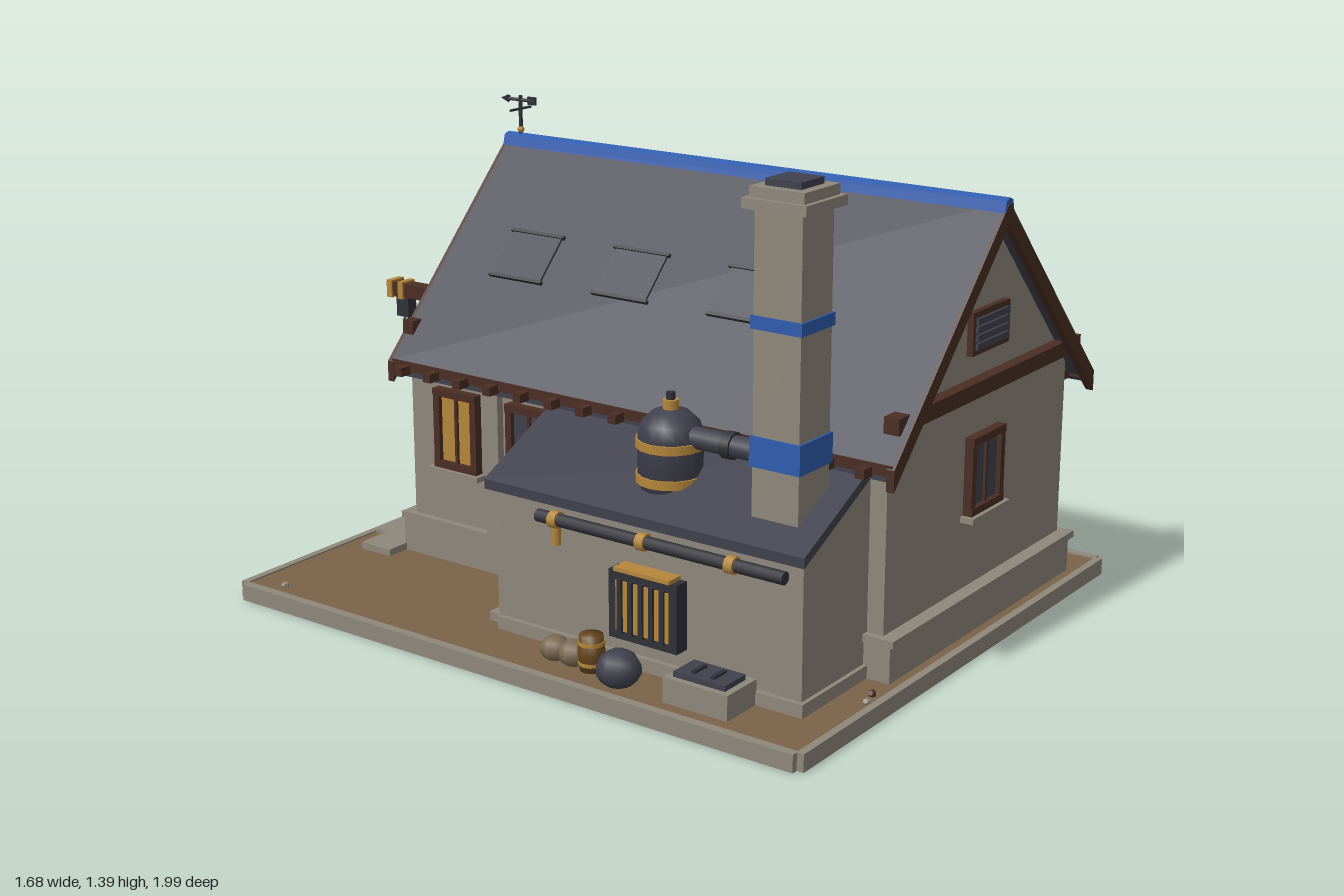
import * as THREE from 'three';

const mat = (name, color) => { const m = new THREE.MeshStandardMaterial({ color }); m.name = name; return m; };

export function createModel() {
  const root = new THREE.Group();
  root.name = 'workshop';
  const stone = mat('stone', 0x8f877b), slate = mat('slate', 0x41414e), timber = mat('darkTimber', 0x4a2e24),
    blue = mat('bluePaint', 0x2f5cae), bronze = mat('bronze', 0xb5863a), soil = mat('soil', 0x7a6449),
    wood = mat('wood', 0x69481f), iron = mat('iron', 0x303038), sackcloth = mat('sackcloth', 0x7c6a54);

  const add = (name, geo, m, parent = root) => {
    const mesh = new THREE.Mesh(geo, m);
    mesh.name = name;
    parent.add(mesh);
    return mesh;
  };
  // box given by its extents
  const box = (name, m, x0, x1, y0, y1, z0, z1, parent = root) => {
    const b = add(name, new THREE.BoxGeometry(x1 - x0, y1 - y0, z1 - z0), m, parent);
    b.position.set((x0 + x1) / 2, (y0 + y1) / 2, (z0 + z1) / 2);
    return b;
  };
  // profile in x,y extruded from z0 to z1
  const prism = (name, m, shape, z0, z1, parent = root) => {
    const s = Array.isArray(shape) ? new THREE.Shape(shape.map(p => new THREE.Vector2(...p))) : shape;
    const mesh = add(name, new THREE.ExtrudeGeometry(s, { depth: z1 - z0, bevelEnabled: false, curveSegments: 12 }), m, parent);
    mesh.position.z = z0;
    return mesh;
  };
  const rod = (name, m, r, a, b, sides = 10, parent = root) => {
    const p = new THREE.Vector3(...a), q = new THREE.Vector3(...b), d = q.clone().sub(p);
    const c = add(name, new THREE.CylinderGeometry(r, r, d.length(), sides), m, parent);
    c.position.copy(p).add(q).multiplyScalar(0.5);
    c.quaternion.setFromUnitVectors(new THREE.Vector3(0, 1, 0), d.normalize());
    return c;
  };
  // flat timber between two points on a facade
  const beam = (name, m, x0, y0, x1, y1, w, z0, z1) => {
    const b = box(name, m, -Math.hypot(x1 - x0, y1 - y0) / 2, Math.hypot(x1 - x0, y1 - y0) / 2, -w / 2, w / 2, z0, z1);
    b.position.set((x0 + x1) / 2, (y0 + y1) / 2, (z0 + z1) / 2);
    b.rotation.z = Math.atan2(y1 - y0, x1 - x0);
    return b;
  };
  const facing = (name, x, y, z, ry) => {
    const g = new THREE.Group();
    g.name = name; g.position.set(x, y, z); g.rotation.y = ry;
    root.add(g);
    return g;
  };
  const arch = (w, h, S = THREE.Shape) => {
    const s = new S();
    s.moveTo(-w / 2, 0); s.lineTo(w / 2, 0); s.lineTo(w / 2, h - w / 2);
    s.absarc(0, h - w / 2, w / 2, 0, Math.PI, false);
    s.lineTo(-w / 2, 0);
    return s;
  };

  // base
  box('yard', soil, -0.815, 0.815, 0, 0.045, -0.93, 0.97);
  for (const s of [-1, 1]) {
    box('sideCurb', stone, s * 0.825 - 0.013, s * 0.825 + 0.013, 0.001, 0.05, -0.93, 0.97);
    box('endCurb', stone, -0.82, 0.82, 0.001, 0.05, s < 0 ? -0.952 : 0.968, s < 0 ? -0.93 : 0.99);
  }

  // main hall
  const RX = 0.177, RY = 1.24, K = 1.048;
  const roofY = (x, drop = 0) => RY - drop - K * Math.abs(x - RX);
  prism('hallWalls', stone, [[-0.32, 0.05], [0.67, 0.05], [0.67, roofY(0.67, 0.03)], [RX, RY - 0.03], [-0.32, roofY(-0.32, 0.03)]], -0.72, 0.91);
  box('plinth', stone, -0.335, 0.685, 0.045, 0.15, -0.755, 0.94);
  box('plinthTrim', stone, -0.342, 0.695, 0.148, 0.168, -0.76, 0.952);
  for (const z of [0.36, -0.41]) {
    box('rightPilaster', stone, 0.66, 0.697, 0.165, 0.635, z - 0.027, z + 0.027);
  }
  box('leftPilaster', stone, -0.345, -0.31, 0.165, 0.635, -0.42, -0.37);

  // roof
  const chevron = (t, e) => [[RX - e, roofY(RX - e)], [RX - e, roofY(RX - e, t)], [RX, RY - t],
    [RX + e, roofY(RX + e, t)], [RX + e, roofY(RX + e)], [RX, RY]];
  prism('roof', slate, chevron(0.04, 0.56), -0.74, 0.96);
  for (const [z0, z1] of [[0.945, 0.968], [-0.752, -0.73]]) prism('bargeBoard', timber, chevron(0.06, 0.564), z0, z1);
  prism('ridgeCap', blue, [[RX - 0.026, RY - 0.028], [RX + 0.026, RY - 0.028], [RX + 0.018, RY + 0.004], [RX, RY + 0.012], [RX - 0.018, RY + 0.004]], -0.75, 0.967);
  for (const s of [-1, 1]) {
    const x = RX + s * 0.55;
    box('eaveBoard', timber, x - 0.012, x + 0.012, 0.628, 0.657, -0.74, 0.96);
    for (let i = 0; i < 15; i++) {
      const z = -0.68 + i * 0.112;
      box('rafterTail', timber, x - 0.05, x + 0.018, 0.622, 0.648, z - 0.014, z + 0.014);
    }
    // skylights
    for (const z of s > 0 ? [-0.25, 0.165] : [-0.45, -0.07, 0.33]) {
      const g = new THREE.Group();
      g.name = 'skylight';
      const cx = RX + s * 0.278;
      g.position.set(cx, roofY(cx), z);
      g.rotation.z = -s * Math.atan(K);
      root.add(g);
      box('skylightPane', slate, -0.075, 0.075, -0.01, 0.007, -0.09, 0.09, g);
      for (const u of [-0.078, 0.078]) box('skylightBar', iron, u - 0.005, u + 0.005, -0.01, 0.012, -0.098, 0.098, g);
    }
  }

  // windows and vents, modelled facing +z
  const windowAt = (x, y, z, ry, w, h, glass) => {
    const g = facing('window', x, y, z, ry);
    box('pane', glass, -w / 2, w / 2, -h / 2, h / 2, -0.01, 0.012, g);
    for (const s of [-1, 1]) {
      box('jamb', timber, s * w / 2 - 0.011, s * w / 2 + 0.011, -h / 2, h / 2, -0.01, 0.026, g);
      box('rail', timber, -w / 2 - 0.011, w / 2 + 0.011, s * h / 2 - 0.011, s * h / 2 + 0.011, -0.01, 0.028, g);
    }
    box('mullion', timber, -0.005, 0.005, -h / 2, h / 2, 0, 0.02, g);
    box('sill', stone, -w / 2 - 0.025, w / 2 + 0.025, -h / 2 - 0.026, -h / 2 - 0.01, -0.01, 0.04, g);
  };
  windowAt(RX, 0.492, 0.91, 0, 0.16, 0.2, slate);
  windowAt(0.67, 0.47, 0.29, Math.PI / 2, 0.11, 0.21, slate);
  windowAt(0.67, 0.47, -0.33, Math.PI / 2, 0.12, 0.21, slate);
  windowAt(-0.32, 0.46, -0.535, -Math.PI / 2, 0.14, 0.22, bronze);
  windowAt(-0.32, 0.46, -0.26, -Math.PI / 2, 0.14, 0.22, slate);
  for (const [y, z, ry] of [[0.893, 0.91, 0], [0.955, -0.72, Math.PI]]) {
    const g = facing('gableVent', RX, y, z, ry);
    box('ventFrame', timber, -0.102, 0.102, -0.06, 0.06, -0.01, 0.018, g);
    for (let i = 0; i < 4; i++) box('louvre', slate, -0.088, 0.088, -0.044 + i * 0.023, -0.026 + i * 0.023, 0, 0.026, g);
  }

  // front and rear gable timbers
  box('frontTieBeam', timber, -0.33, 0.69, 0.72, 0.765, 0.9, 0.945);
  const z0 = -0.745, z1 = -0.71;
  box('rearTieBeam', timber, -0.32, 0.67, 0.715, 0.76, z0 - 0.005, z1);
  box('blueFrieze', blue, -0.32, 0.67, 0.685, 0.713, -0.729, z1);
  box('midRail', timber, -0.14, 0.49, 0.868, 0.892, z0, z1);
  box('collarBeam', timber, 0.02, 0.334, 1.025, 1.052, z0, z1);
  beam('kingPost', timber, RX, 1.04, RX, 1.2, 0.026, z0, z1);
  for (const s of [-1, 1]) {
    beam('gableStud', timber, RX + s * 0.135, 0.75, RX + s * 0.135, 1.04, 0.024, z0, z1);
    beam('gableBrace', timber, RX + s * 0.4, 0.75, RX + s * 0.27, 0.88, 0.024, z0, z1);
    box('doorPost', timber, RX + s * 0.245 - 0.02, RX + s * 0.245 + 0.02, 0.165, 0.72, z0 - 0.005, z1);
    box('postBase', stone, RX + s * 0.245 - 0.028, RX + s * 0.245 + 0.028, 0.165, 0.205, -0.758, z1);
  }
  box('bluePlaque', blue, RX - 0.06, RX + 0.06, 0.768, 0.865, -0.749, z1);
  box('plaqueBoss', bronze, RX - 0.032, RX + 0.032, 0.795, 0.835, -0.755, -0.74);

  // arched doorways
  const doorway = (x, y, z, w, h, leaf) => {
    const g = facing('doorway', x, y, z, Math.PI);
    const ring = arch(w, h);
    ring.holes.push(arch(w - 0.07, h - 0.035, THREE.Path));
    prism('archSurround', stone, ring, -0.01, 0.03, g);
    prism('doorLeaf', leaf, arch(w - 0.066, h - 0.033), -0.01, 0.01, g);
    return g;
  };
  const main = doorway(RX, 0.165, -0.72, 0.4, 0.455, wood);
  for (let i = -3; i <= 3; i++) box('plankSeam', timber, i * 0.043 - 0.004, i * 0.043 + 0.004, 0, 0.4 - Math.abs(i) ** 2 * 0.01, 0, 0.014, main);
  for (const y of [0.13, 0.25]) box('doorStrap', iron, -0.162, 0.162, y, y + 0.02, 0, 0.02, main);
  box('blueKickPlate', blue, -0.163, 0.163, 0.015, 0.075, 0, 0.019, main);
  for (const s of [-1, 1]) box('doorHandle', bronze, s * 0.02 - 0.006, s * 0.02 + 0.006, 0.17, 0.22, 0, 0.028, main);
  const side = doorway(-0.486, 0.065, -0.13, 0.225, 0.37, slate);
  for (const y of [0.06, 0.14, 0.22]) box('doorStrap', stone, -0.077, 0.077, y, y + 0.009, 0, 0.016, side);
  box('sideDoorStep', stone, -0.61, -0.37, 0.045, 0.07, -0.185, -0.12);

  // hanging banner
  const ban = new THREE.Shape([[-0.068, 0], [-0.068, -0.26], [-0.035, -0.315], [0, -0.33], [0.035, -0.315], [0.068, -0.26], [0.068, 0]].map(p => new THREE.Vector2(...p)));
  const banner = facing('banner', 0.535, 0.64, -0.725, Math.PI);
  prism('bannerCloth', blue, ban, 0, 0.009, banner);
  rod('bannerRod', timber, 0.009, [-0.085, 0, 0.008], [0.085, 0, 0.008], 8, banner);
  box('bannerBadge', bronze, -0.034, 0.034, -0.2, -0.115, 0.004, 0.014, banner);

  // steps and paving
  for (let i = 0; i < 3; i++) box('doorStep', stone, -0.03 + i * 0.012, 0.39 - i * 0.012, 0.04, 0.085 + i * 0.033, -0.872 + i * 0.042, -0.72);
  box('slabLeft', stone, -0.41, -0.035, 0.04, 0.066, -0.865, -0.75);
  box('slabRight', stone, 0.45, 0.63, 0.04, 0.062, -0.865, -0.75);
  for (const [a, b] of [[-0.28, 0.02], [0.026, 0.326], [0.332, 0.8]]) box('pavingSlab', stone, a, b, 0.04, 0.057, -0.928, -0.878);

  // hoist
  const HX = -0.092;
  box('hoistBeam', timber, HX - 0.023, HX + 0.023, 0.758, 0.8, -0.995, -0.7);
  for (const z of [-0.945, -0.99]) box('hoistBand', bronze, HX - 0.028, HX + 0.028, 0.752, 0.806, z - 0.01, z + 0.01);
  rod('hoistStrut', timber, 0.012, [HX, 0.85, -0.73], [HX, 0.79, -0.86], 6);
  box('pulleyBlock', iron, HX - 0.018, HX + 0.018, 0.695, 0.757, -0.97, -0.922);
  for (let i = 0; i < 5; i++) {
    const link = add('chainLink', new THREE.TorusGeometry(0.01, 0.0035, 5, 10), iron);
    link.position.set(HX, 0.686 - i * 0.015, -0.947);
    link.rotation.y = i % 2 * Math.PI / 2;
  }
  const hook = add('hook', new THREE.TorusGeometry(0.015, 0.005, 6, 12, Math.PI * 1.4), iron);
  hook.position.set(HX, 0.603, -0.952);
  hook.rotation.set(0, Math.PI / 2, 0);
  hook.rotateZ(Math.PI * 0.9);

  // weathervane
  rod('vanePole', iron, 0.006, [RX, 1.23, -0.7], [RX, 1.365, -0.7], 8);
  rod('vaneCross', iron, 0.004, [RX - 0.048, 1.325, -0.7], [RX + 0.048, 1.325, -0.7], 6);
  rod('vaneArrow', iron, 0.005, [RX, 1.352, -0.76], [RX, 1.352, -0.65], 6);
  box('vaneTail', iron, RX - 0.004, RX + 0.004, 1.34, 1.364, -0.67, -0.64);
  const tip = add('vaneTip', new THREE.ConeGeometry(0.012, 0.03, 6), iron);
  tip.position.set(RX, 1.352, -0.762);
  tip.rotation.x = -Math.PI / 2;
  add('vaneKnob', new THREE.SphereGeometry(0.011, 10, 8), bronze).position.set(RX, 1.262, -0.7);

  // lean-to
  prism('leanToWalls', stone, [[-0.63, 0.05], [-0.32, 0.05], [-0.32, 0.62], [-0.63, 0.465]], -0.13, 0.86);
  box('leanToPlinth', stone, -0.645, -0.33, 0.045, 0.082, -0.125, 0.872);
  prism('leanToRoof', slate, [[-0.66, 0.452], [-0.31, 0.624], [-0.31, 0.652], [-0.66, 0.48]], -0.15, 0.88);
  rod('gutterPipe', iron, 0.018, [-0.652, 0.412, 0.03], [-0.652, 0.412, 0.82]);
  for (const z of [0.09, 0.38, 0.66]) rod('pipeCollar', bronze, 0.024, [-0.652, 0.412, z - 0.013], [-0.652, 0.412, z + 0.013]);
  rod('downPipe', bronze, 0.013, [-0.65, 0.34, 0.09], [-0.65, 0.41, 0.09], 8);

  // barred furnace window
  const grate = facing('furnaceGrate', -0.63, 0.23, 0.395, -Math.PI / 2);
  box('grateFrame', iron, -0.11, 0.11, -0.095, 0.095, -0.01, 0.045, grate);
  box('grateGlow', bronze, -0.085, 0.085, -0.07, 0.07, 0, 0.049, grate);
  for (let i = -2; i <= 2; i++) box('grateBar', iron, i * 0.034 - 0.007, i * 0.034 + 0.007, -0.075, 0.075, 0.04, 0.057, grate);
  box('grateLintel', bronze, -0.09, 0.09, 0.095, 0.106, -0.01, 0.052, grate);

  // chimney
  const CX = -0.507, CZ = 0.737;
  const tier = (name, m, r, y0, y1) => box(name, m, CX - r, CX + r, y0, y1, CZ - r, CZ + r);
  tier('chimneyStack', stone, 0.07, 0.4, 1.33);
  tier('chimneyCap', stone, 0.094, 1.315, 1.342);
  tier('chimneyCapTop', stone, 0.08, 1.34, 1.37);
  tier('flue', slate, 0.052, 1.36, 1.388);
  tier('lowerBlueBand', blue, 0.076, 0.655, 0.735);
  tier('upperBlueBand', blue, 0.076, 1.012, 1.046);

  // boiler
  const profile = [[0.0, 0.48], [0.088, 0.48], [0.088, 0.66], [0.078, 0.695], [0.05, 0.722], [0, 0.735]].map(p => new THREE.Vector2(...p));
  add('boiler', new THREE.LatheGeometry(profile, 16), slate).position.set(-0.495, 0, 0.355);
  for (const y of [0.545, 0.64]) rod('boilerBand', bronze, 0.094, [-0.495, y - 0.012, 0.355], [-0.495, y + 0.012, 0.355], 16);
  rod('boilerValve', bronze, 0.022, [-0.495, 0.72, 0.355], [-0.495, 0.755, 0.355]);
  rod('boilerSpout', iron, 0.012, [-0.495, 0.75, 0.355], [-0.495, 0.775, 0.355]);
  rod('boilerDuct', slate, 0.03, [-0.495, 0.665, 0.4], [-0.495, 0.665, 0.68], 12);
  rod('ductCollar', iron, 0.037, [-0.495, 0.665, 0.53], [-0.495, 0.665, 0.56], 12);

  // coal bunker
  box('bunker', stone, -0.77, -0.64, 0.045, 0.115, 0.53, 0.73);
  box('bunkerLid', slate, -0.752, -0.66, 0.11, 0.13, 0.55, 0.71);
  for (const z of [0.6, 0.66]) box('lidHandle', iron, -0.735, -0.68, 0.128, 0.137, z - 0.006, z + 0.006);

  // barrels, crate, sacks and coal
  const barrel = (x, z, r, h) => {
    const p = [[0, 0], [r * 0.85, 0], [r, h * 0.5], [r * 0.85, h], [0, h]].map(q => new THREE.Vector2(...q));
    add('barrel', new THREE.LatheGeometry(p, 12), wood).position.set(x, 0.045, z);
    for (const t of [0.22, 0.78]) rod('barrelHoop', bronze, r * 0.97, [x, 0.045 + h * t - 0.005, z], [x, 0.045 + h * t + 0.005, z], 12);
  };
  barrel(0.752, -0.51, 0.037, 0.078);
  barrel(-0.712, 0.255, 0.038, 0.1);
  const crate = facing('crate', 0.718, 0.082, -0.79, 0.15);
  box('crateBody', wood, -0.04, 0.04, -0.037, 0.03, -0.042, 0.042, crate);
  box('crateLid', timber, -0.045, 0.045, 0.027, 0.038, -0.047, 0.047, crate);
  for (const [x, z, r, m, n] of [[-0.71, 0.13, 0.042, sackcloth, 'sack'], [-0.71, 0.195, 0.044, sackcloth, 'sack'], [-0.745, 0.37, 0.062, slate, 'coalHeap']]) {
    const s = add(n, new THREE.SphereGeometry(r, 9, 7), m);
    s.position.set(x, 0.045 + r * 0.7, z);
    s.scale.y = 0.85;
  }
  for (const [x, z, m] of [[0.76, -0.13, timber], [0.765, 0.38, timber], [0.745, 0.77, stone], [0.775, -0.86, stone], [-0.77, -0.825, stone], [-0.47, 0.955, stone], [-0.42, 0.94, timber]])
    add('pebble', new THREE.DodecahedronGeometry(0.012), m).position.set(x, 0.05, z);

  return root;
}
